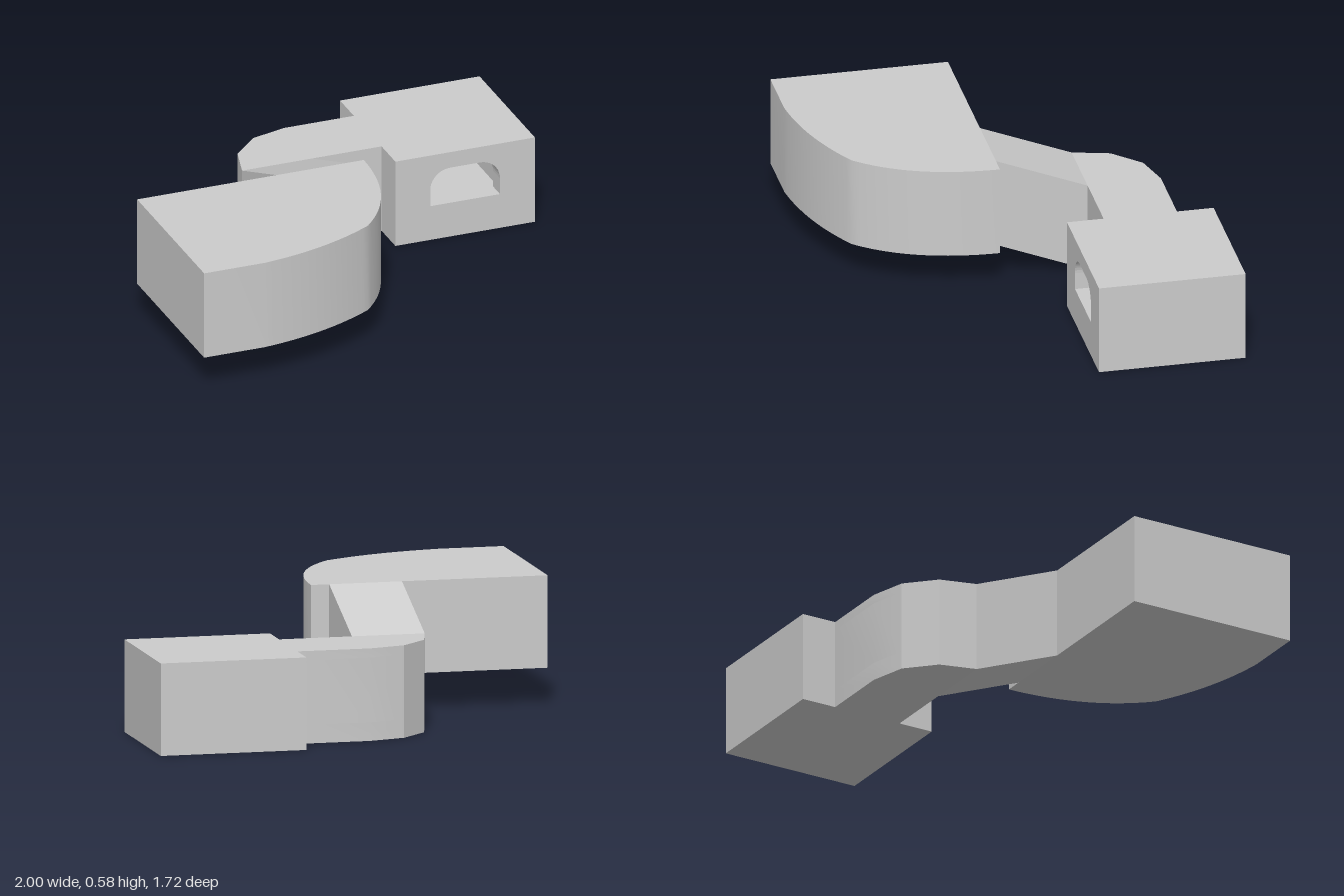
import * as THREE from 'three';
import { toCreasedNormals } from 'three/addons/utils/BufferGeometryUtils.js';

const U = 1 / 12;                 // wall thickness, the building module
const Z0 = -0.362;                // inner edge of the corridor and centre of its bend
const material = new THREE.MeshStandardMaterial({ color: 0xcccccc });

// Floor-plan shape from [x, z] points
function plan(points) {
  return new THREE.Shape(points.map(([x, z]) => new THREE.Vector2(x, -z)));
}

// Raise a floor plan from y0 to y1
function raise(shape, y0, y1) {
  const g = new THREE.ExtrudeGeometry(shape, { depth: y1 - y0, bevelEnabled: false, curveSegments: 16 });
  g.rotateX(-Math.PI / 2);
  g.translate(0, y0, 0);
  return toCreasedNormals(g, 0.4);
}

// Three-sided quarter bend from the back round to the right
function bend(r) {
  return [0, 1, 2, 3].map((i) => {
    const a = (i * Math.PI) / 6;
    return [-r * Math.sin(a), Z0 - r * Math.cos(a)];
  });
}

export function createModel() {
  const group = new THREE.Group();
  const add = (name, geometry) => {
    const mesh = new THREE.Mesh(geometry, material);
    mesh.name = name;
    group.add(mesh);
  };

  // Room and corridor outline
  const front = Z0 + 2 * U, back = front - 8 * U;
  const outer = [
    [1, front], [1, back], [4 * U, back], [4 * U, Z0 - 4 * U],
    ...bend(4 * U),
    [4 * U, Z0], [4 * U, front],
  ];
  outer.splice(8, 0, [0, Z0]);
  const floorTop = U, ceiling = 4.5 * U, roofTop = 5 * U;
  add('lowerFloor', raise(plan(outer), 0, floorTop));
  add('lowerRoof', raise(plan(outer), ceiling, roofTop));

  // Hollow walls, open where the window wall goes
  const inner = [
    [5 * U, front], [5 * U, Z0 - U], [0, Z0 - U], [-U, Z0 - 0.04],
    [-3 * U, Z0 - 0.04], ...bend(3 * U).slice(0, 3).reverse(),
    [5 * U, Z0 - 3 * U], [5 * U, back + U], [1 - U, back + U], [1 - U, front],
  ];
  add('lowerWalls', raise(plan([...outer, ...inner]), floorTop, ceiling));

  // Window wall with an arched opening
  const panel = new THREE.Shape();
  panel.moveTo(5 * U, floorTop);
  panel.lineTo(1 - U, floorTop);
  panel.lineTo(1 - U, ceiling);
  panel.lineTo(5 * U, ceiling);
  panel.closePath();
  const x0 = 6 * U, x1 = 10 * U, sill = 2 * U, top = 0.34, r = 0.095;
  const opening = new THREE.Path();
  opening.moveTo(x0, sill);
  opening.lineTo(x0, top - r);
  opening.absarc(x0 + r, top - r, r, Math.PI, Math.PI / 2, true);
  opening.lineTo(x1 - r, top);
  opening.absarc(x1 - r, top - r, r, Math.PI / 2, 0, true);
  opening.lineTo(x1, sill);
  opening.closePath();
  panel.holes.push(opening);
  const panelGeometry = new THREE.ExtrudeGeometry(panel, { depth: U, bevelEnabled: false, curveSegments: 5 });
  panelGeometry.translate(0, 0, front - U);
  add('windowWall', panelGeometry);

  // Sloping passage up to the hall
  const z1 = Z0 + 5 * U, rise = 2 * U;
  const ramp = new THREE.BoxGeometry(4 * U, 5 * U, z1 - Z0);
  ramp.translate(-2 * U, 2.5 * U, (Z0 + z1) / 2);
  const p = ramp.attributes.position;
  for (let i = 0; i < p.count; i++) {
    if (p.getZ(i) > (Z0 + z1) / 2) p.setY(i, p.getY(i) + rise);
  }
  ramp.computeVertexNormals();
  add('ramp', ramp);

  // Raised hall with a curved front corner
  const hall = new THREE.Shape();
  hall.moveTo(-1, -0.862);
  hall.lineTo(-0.71, -0.862);
  hall.quadraticCurveTo(-0.4, -0.83, -0.145, -0.68);
  hall.quadraticCurveTo(0.08, -0.45, U, -z1);
  hall.lineTo(-1, -z1);
  hall.closePath();
  add('hall', raise(hall, rise, rise + 5 * U));

  return group;
}
